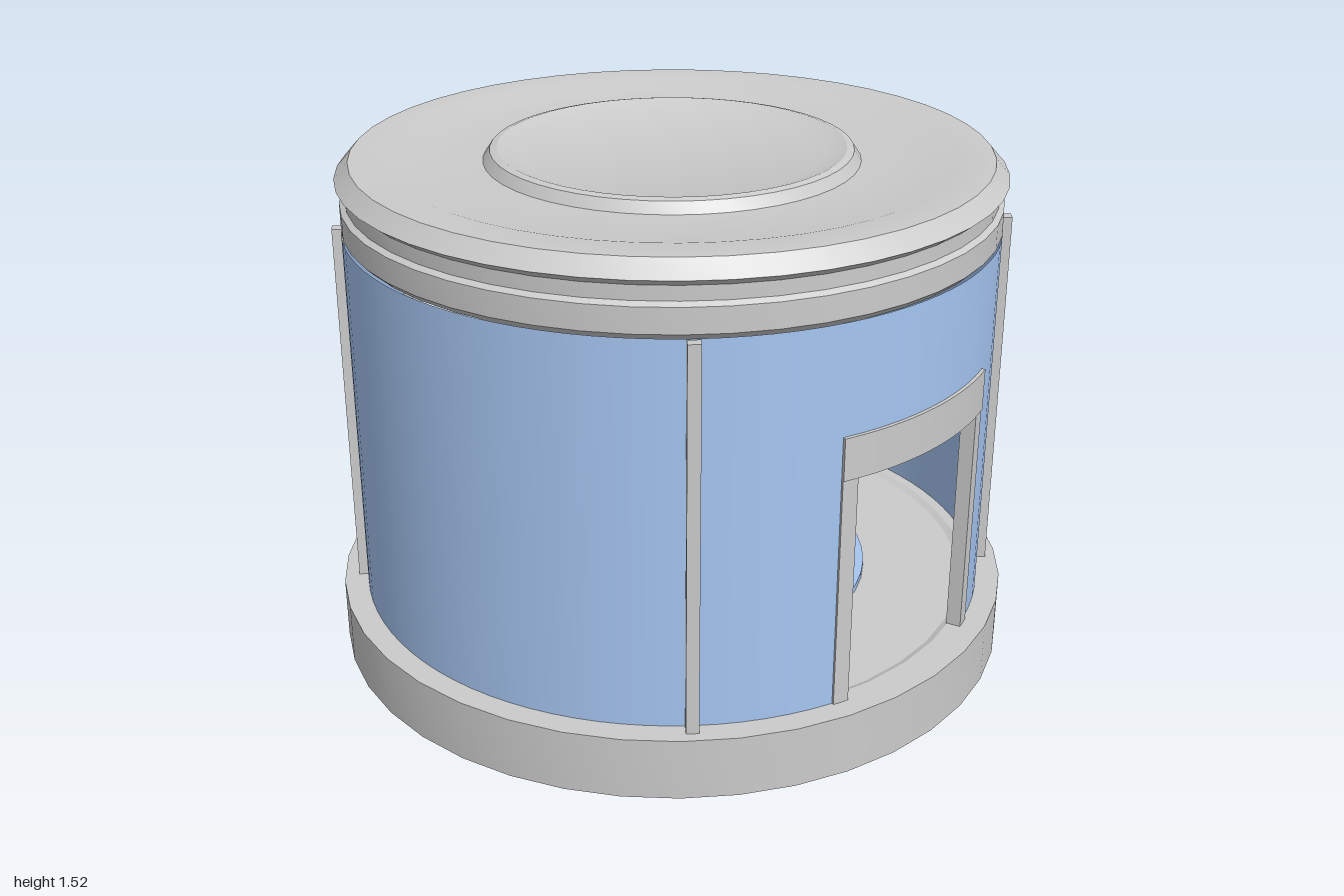
import * as THREE from 'three';
import { toCreasedNormals } from 'three/addons/utils/BufferGeometryUtils.js';

const grey = new THREE.MeshStandardMaterial({ color: 0xcccccc });
const blue = new THREE.MeshStandardMaterial({ color: 0xa6c6f2, side: THREE.DoubleSide });

const WALL_R = 0.93, FLOOR_Y = 0.2, WALL_TOP = 1.31, DOOR_TOP = 1.0;
const DOOR_HALF = Math.asin(0.3 / WALL_R);

export function createModel() {
  const group = new THREE.Group();

  const add = (name, geometry, material = grey) => {
    const mesh = new THREE.Mesh(geometry, material);
    mesh.name = name;
    group.add(mesh);
    return mesh;
  };

  // Solid of revolution; profile runs from the bottom centre, out, and up to the top centre
  const turned = (name, profile, segments) => {
    const points = profile.map(([r, y]) => new THREE.Vector2(r, y));
    return add(name, toCreasedNormals(new THREE.LatheGeometry(points, segments), 0.4));
  };

  // Curved block between two radii; angles are measured from +z towards +x
  const arcBlock = (name, rIn, rOut, a0, a1, y0, y1) => {
    const shape = new THREE.Shape();
    shape.absarc(0, 0, rOut, a0 - Math.PI / 2, a1 - Math.PI / 2, false);
    shape.absarc(0, 0, rIn, a1 - Math.PI / 2, a0 - Math.PI / 2, true);
    const geo = new THREE.ExtrudeGeometry(shape, { depth: y1 - y0, bevelEnabled: false, curveSegments: 10 });
    geo.rotateX(-Math.PI / 2).translate(0, y0, 0);
    return add(name, toCreasedNormals(geo, 0.5));
  };

  // Thin curved wall panel
  const wallPanel = (name, start, length, y0, y1, segments) => {
    const geo = new THREE.CylinderGeometry(WALL_R, WALL_R, y1 - y0, segments, 1, true, start, length);
    geo.translate(0, (y0 + y1) / 2, 0);
    return add(name, geo, blue);
  };

  // Base with a shallow foot ring underneath
  turned('base', [
    [0, 0.03], [0.57, 0.03], [0.59, 0.005], [0.62, 0], [0.66, 0], [0.68, 0.015], [0.68, 0.03],
    [1, 0.03], [1, FLOOR_Y + 0.01], [0.9, FLOOR_Y + 0.01], [0.88, FLOOR_Y], [0, FLOOR_Y],
  ], 40);

  // Round floor pad
  const pad = add('floorPad', new THREE.CylinderGeometry(0.59, 0.59, 0.02, 48), blue);
  pad.position.y = FLOOR_Y + 0.01;

  // Roof: lower band, groove, chamfered rim, sunken step and raised centre ring
  turned('roof', [
    [0, 1.33], [0.55, 1.33], [0.6, 1.31], [0.91, 1.3], [0.93, 1.32], [0.93, 1.39],
    [0.915, 1.4], [0.915, 1.44], [0.94, 1.46], [0.935, 1.465], [0.9, 1.505],
    [0.8, 1.505], [0.72, 1.485], [0.53, 1.485], [0.51, 1.515], [0.49, 1.52],
    [0.43, 1.5], [0, 1.5],
  ], 48);

  // Side walls, doorways and frames, front and back
  [['front', 0], ['back', Math.PI]].forEach(([end, turn]) => {
    const side = end === 'front' ? 'left' : 'right';
    wallPanel(side + 'Wall', turn + DOOR_HALF, Math.PI - 2 * DOOR_HALF, FLOOR_Y, WALL_TOP, 36);
    wallPanel(end + 'WallAboveDoor', turn - DOOR_HALF, 2 * DOOR_HALF, DOOR_TOP, WALL_TOP, 10);
    arcBlock(end + 'DoorLintel', 0.895, 0.94, turn - DOOR_HALF, turn + DOOR_HALF, 0.88, DOOR_TOP);
    for (const s of [-1, 1]) {
      const mid = turn + s * (DOOR_HALF - 0.025);
      arcBlock(end + 'DoorPost', 0.895, 0.937, mid - 0.025, mid + 0.025, FLOOR_Y, 0.88);
    }
  });

  // Upright strips over the wall joints
  for (const s of [-1, 1]) {
    for (const [x, z] of [[0.65, 0.695], [0.73, -0.595]]) {
      const strip = add('wallStrip', new THREE.BoxGeometry(0.035, WALL_TOP - FLOOR_Y, 0.03));
      strip.position.set(s * x, (WALL_TOP + FLOOR_Y) / 2, z);
      strip.rotation.y = Math.atan2(s * x, z);
    }
  }

  return group;
}
